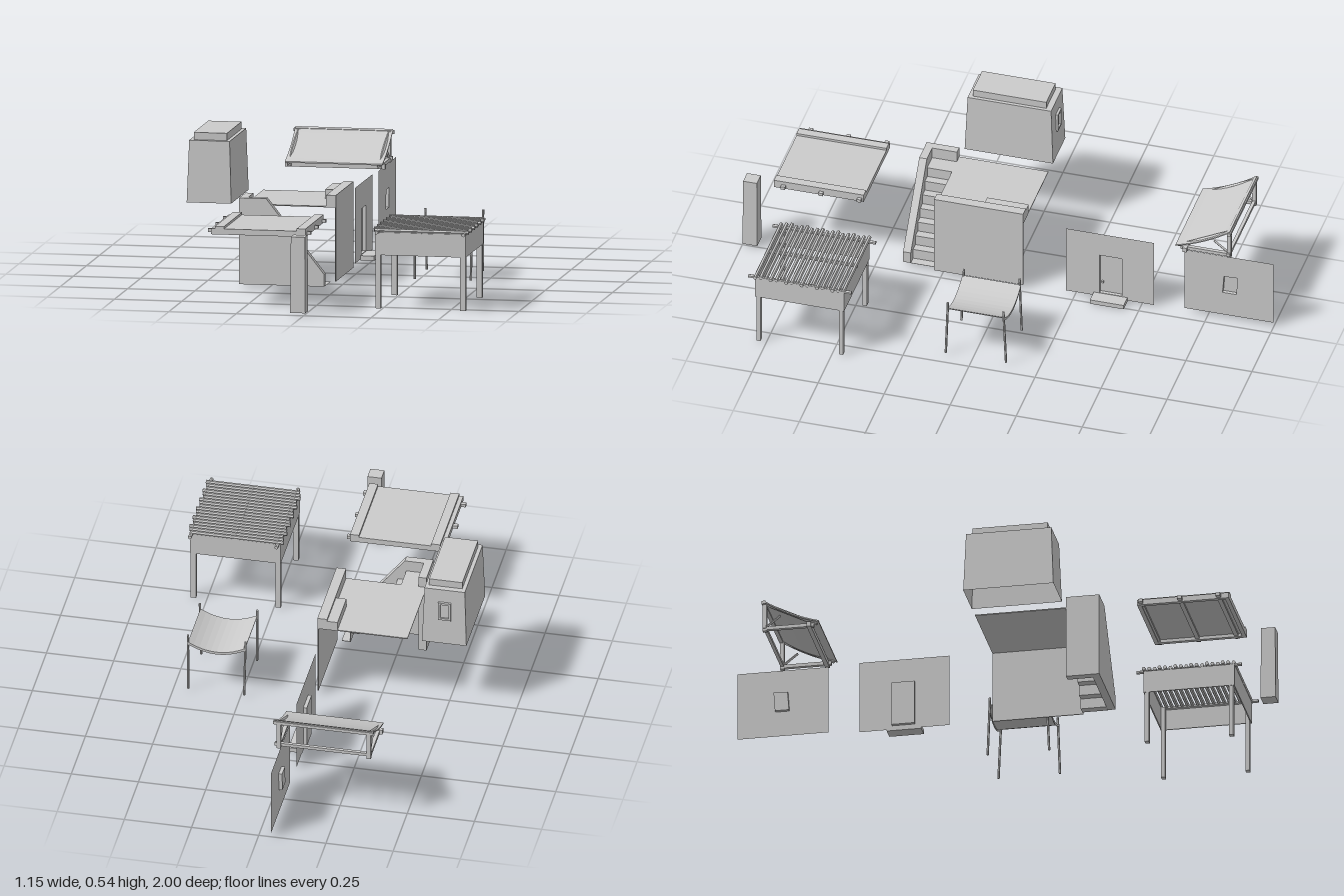
import * as THREE from 'three';

const material = new THREE.MeshStandardMaterial({ color: 0xcccccc, flatShading: true, side: THREE.DoubleSide });

export function createModel() {
  const model = new THREE.Group();
  let parent = model;

  const group = (name) => {
    parent = new THREE.Group();
    parent.name = name;
    model.add(parent);
  };
  const add = (name, geometry) => {
    const mesh = new THREE.Mesh(geometry, material);
    mesh.name = name;
    parent.add(mesh);
    return mesh;
  };
  // box given by its limits on each axis
  const box = (name, x0, x1, y0, y1, z0, z1) =>
    add(name, new THREE.BoxGeometry(x1 - x0, y1 - y0, z1 - z0)
      .translate((x0 + x1) / 2, (y0 + y1) / 2, (z0 + z1) / 2));
  // round-ish pole between two points
  const pole = (name, a, b, r, sides = 6) => {
    const p = new THREE.Vector3(...a), q = new THREE.Vector3(...b);
    const mesh = add(name, new THREE.CylinderGeometry(r, r, p.distanceTo(q), sides));
    mesh.position.copy(p).add(q).multiplyScalar(0.5);
    mesh.quaternion.setFromUnitVectors(new THREE.Vector3(0, 1, 0), q.sub(p).normalize());
  };
  const shapeOf = (points) => new THREE.Shape(points.map(([x, y]) => new THREE.Vector2(x, y)));
  // (x, y) outline extruded along z
  const prismZ = (name, points, z0, z1) =>
    add(name, new THREE.ExtrudeGeometry(shapeOf(points), { depth: z1 - z0, bevelEnabled: false }).translate(0, 0, z0));
  // (z, y) outline extruded along x
  const prismX = (name, points, x0, x1) =>
    add(name, new THREE.ExtrudeGeometry(shapeOf(points.map(([z, y]) => [-z, y])), { depth: x1 - x0, bevelEnabled: false })
      .rotateY(Math.PI / 2).translate(x0, 0, 0));
  // thin strip that follows a line
  const strip = (line, dx, dy) => [...line, ...line.map(([x, y]) => [x + dx, y + dy]).reverse()];

  // Pillar, slightly tapered
  group('pillar');
  const pillar = new THREE.CylinderGeometry(0.026 * Math.SQRT2, 0.028 * Math.SQRT2, 0.28, 4);
  add('pillarShaft', pillar.rotateY(Math.PI / 4).translate(-0.022, 0.15, 0.97));

  // Flat ceiling panel with beams
  group('ceilingPanel');
  box('ceilingSlab', -0.365, -0.015, 0.285, 0.294, 0.545, 0.885);
  for (const x of [-0.365, -0.03]) box('rim', x, x + 0.015, 0.273, 0.285, 0.545, 0.885);
  for (const z of [0.545, 0.87]) box('rim', -0.365, -0.015, 0.273, 0.285, z, z + 0.015);
  for (const z of [0.56, 0.705, 0.848]) box('crossBeam', -0.383, -0.002, 0.277, 0.289, z - 0.008, z + 0.008);
  for (const x of [-0.35, -0.048]) box('topBeam', x, x + 0.033, 0.294, 0.303, 0.545, 0.885);

  // Slatted shelter with hanging skirt
  group('slattedShelter');
  for (const x of [0.235, 0.55]) {
    for (const z of [0.467, 0.78]) box('shelterLeg', x - 0.01, x + 0.01, 0.003, 0.285, z - 0.008, z + 0.008);
    box('sideSkirt', x < 0.4 ? 0.224 : 0.557, x < 0.4 ? 0.228 : 0.561, 0.2, 0.284, 0.455, 0.792);
  }
  for (const z of [0.455, 0.788]) box('endSkirt', 0.224, 0.561, 0.2, 0.284, z, z + 0.004);
  for (const x of [0.235, 0.392, 0.557]) {
    const reach = x === 0.392 ? 0.17 : 0.195;
    pole('shelterBeam', [x, 0.286, 0.623 - reach], [x, 0.286, 0.623 + reach], 0.007);
  }
  for (let i = 0; i < 18; i++) {
    const z = 0.458 + i * 0.0195, shift = 0.005 * ((i * 7) % 3 - 1);
    pole('slat', [0.218 + shift, 0.291, z], [0.567 + shift, 0.291, z], 0.0072);
  }

  // Sagging cloth canopy on four thin poles
  group('clothCanopy');
  const cloth = [];
  for (let i = 0; i <= 10; i++) {
    const u = i / 5 - 1;
    cloth.push([0.342 + u * 0.106, 0.207 - 0.03 * (1 - u * u)]);
  }
  prismZ('cloth', strip(cloth, 0, -0.004), -0.122, 0.1);
  for (const z of [-0.122, 0.098]) prismZ('clothHem', strip(cloth, 0, -0.01), z, z + 0.002);
  for (const s of [-1, 1]) {
    for (const t of [-1, 1]) {
      pole('canopyPole', [0.342 + s * 0.104, 0.006, -0.011 + t * 0.114], [0.342 + s * 0.107, 0.233, -0.011 + t * 0.105], 0.0045);
    }
  }

  // Terrace: side wall, roof plate and parapet
  group('terrace');
  box('terraceWall', -0.024, -0.02, 0.015, 0.3, -0.057, 0.28);
  box('terraceRoof', -0.355, -0.02, 0.288, 0.292, -0.057, 0.28);
  box('parapet', -0.056, -0.02, 0.29, 0.333, -0.057, 0.28);
  box('parapetBlock', -0.095, -0.056, 0.29, 0.325, -0.057, 0.1);

  // Stairs, open underneath and behind
  group('stairs');
  prismZ('stairSideWall', [[-0.355, 0.015], [-0.04, 0.015], [-0.04, 0.06], [-0.255, 0.333], [-0.355, 0.333]], 0.374, 0.403);
  box('stairEndWall', -0.355, -0.325, 0.015, 0.333, 0.28, 0.403);
  const treads = [[-0.325, 0.29], [-0.26, 0.29]];
  for (let i = 0; i < 7; i++) {
    const x = -0.26 + i * 0.0315, y = 0.251 - i * 0.0393;
    treads.push([x, y], [x + 0.0315, y]);
  }
  prismZ('steps', strip(treads, -0.002, -0.002), 0.28, 0.374);

  // Tapered tower top with cap and window, open at the bottom
  group('tower');
  const body = new THREE.CylinderGeometry(1, 1, 0.228, 4, 1, true).rotateY(Math.PI / 4).scale(Math.SQRT2, 1, Math.SQRT2);
  const pos = body.attributes.position;
  for (let i = 0; i < pos.count; i++) {
    const top = pos.getY(i) > 0;
    pos.setX(i, Math.sign(pos.getX(i)) * (top ? 0.075 : 0.0825));
    pos.setZ(i, Math.sign(pos.getZ(i)) * (top ? 0.158 : 0.167));
  }
  add('towerBody', body.translate(-0.492, 0.404, 0.108));
  box('towerTop', -0.567, -0.417, 0.515, 0.518, -0.05, 0.266);
  box('towerCap', -0.553, -0.43, 0.518, 0.545, -0.028, 0.25);
  for (const x of [-0.517, -0.477]) box('towerWindowJamb', x, x + 0.008, 0.395, 0.46, -0.061, -0.05);
  for (const y of [0.392, 0.458]) box('towerWindowBar', -0.517, -0.469, y, y + 0.008, -0.061, -0.05);

  // Wall panel with a recessed opening; the opening is a (z, y) outline
  const wallPanel = (name, z0, z1, y0, y1, opening) => {
    group(name);
    const wall = shapeOf([[-z0, y0], [-z1, y0], [-z1, y1], [-z0, y1]]);
    const outline = opening.map(([z, y]) => new THREE.Vector2(-z, y));
    wall.holes.push(new THREE.Path(outline));
    add('panel', new THREE.ShapeGeometry(wall).rotateY(Math.PI / 2).translate(-0.045, 0, 0));
    add('recessBack', new THREE.ShapeGeometry(new THREE.Shape(outline)).rotateY(Math.PI / 2).translate(-0.058, 0, 0));
    opening.forEach(([z, y], i) => {
      const [w, v] = opening[(i + 1) % opening.length];
      const reveal = new THREE.PlaneGeometry(0.013, Math.hypot(w - z, v - y)).rotateX(Math.atan2(w - z, v - y));
      add('reveal', reveal.translate(-0.0515, (y + v) / 2, (z + w) / 2));
    });
  };
  wallPanel('doorPanel', -0.545, -0.212, 0.005, 0.283, [[-0.425, 0.02], [-0.34, 0.02], [-0.34, 0.188], [-0.425, 0.188]]);
  box('doorstep', -0.045, 0.006, 0.001, 0.018, -0.445, -0.317);
  box('doorHandle', -0.058, -0.05, 0.06, 0.068, -0.352, -0.345);
  wallPanel('windowPanel', -0.998, -0.66, 0.015, 0.277, [[-0.857, 0.113], [-0.805, 0.113], [-0.81, 0.185], [-0.862, 0.187]]);

  // Lean-to roof with curved cover and triangular frames
  group('leanToRoof');
  const cover = [];
  for (let i = 0; i <= 8; i++) {
    const t = i / 8;
    cover.push([-0.632 - 0.206 * t, 0.307 + 0.098 * t - 0.045 * t * (1 - t)]);
  }
  prismX('roofCover', strip(cover, 0, -0.005), -0.387, -0.025);
  for (const x of [-0.375, -0.04]) {
    box('roofPost', x - 0.008, x + 0.008, 0.283, 0.398, -0.84, -0.825);
    box('roofTie', x - 0.007, x + 0.007, 0.287, 0.3, -0.835, -0.65);
    pole('roofStrut', [x, 0.3, -0.83], [x, 0.343, -0.775], 0.005, 4);
    pole('roofRafter', [x, 0.297, -0.64], [x, 0.393, -0.83], 0.006, 4);
  }
  box('frontBeam', -0.392, -0.02, 0.284, 0.302, -0.676, -0.66);
  box('ridgeBeam', -0.392, -0.02, 0.388, 0.4, -0.842, -0.828);
  box('backBeam', -0.385, -0.025, 0.293, 0.305, -0.838, -0.826);

  return model;
}
